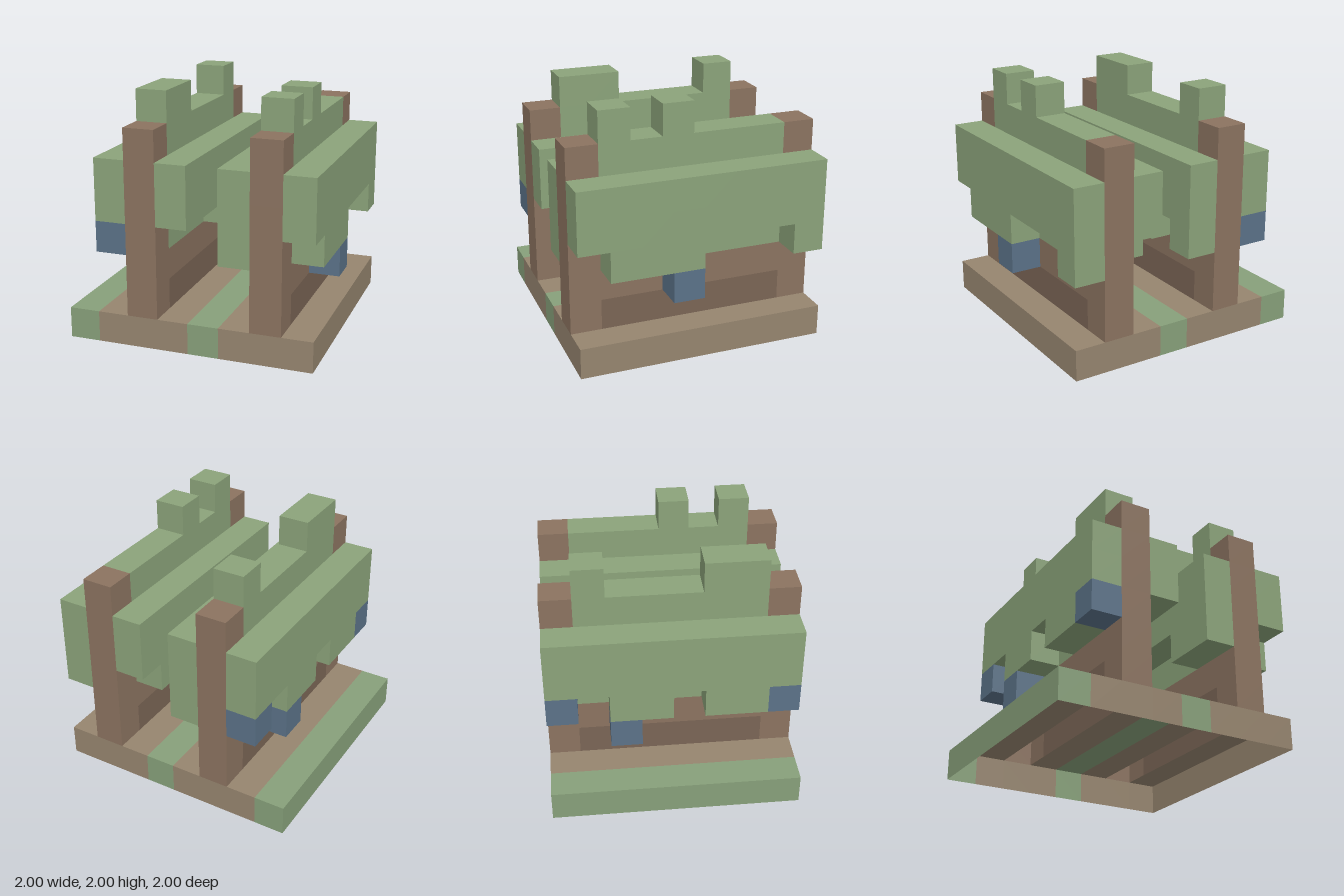
import * as THREE from 'three';
import { mergeGeometries } from 'three/addons/utils/BufferGeometryUtils.js';

const U = 0.25; // block size, on an 8 x 8 x 8 grid
const COLORS = { soil: 0x96856f, grass: 0x87a07a, wood: 0x8b7360, trunk: 0x7a6555, leaf: 0x8ba37a, fruit: 0x5b7288 };
const DIRS = [[1, 0, 0], [-1, 0, 0], [0, 1, 0], [0, -1, 0], [0, 0, 1], [0, 0, -1]];

export function createModel() {
  const blocks = new Map(); // "i,j,k" -> part name
  const parts = {};         // part name -> colour

  // fill an inclusive range of blocks with one part
  function fill(name, color, [i0, i1], [j0, j1], [k0, k1]) {
    parts[name] = color;
    for (let i = i0; i <= i1; i++)
      for (let j = j0; j <= j1; j++)
        for (let k = k0; k <= k1; k++) blocks.set([i, j, k].join(), name);
  }

  // ground slab with two grass strips
  fill('ground', COLORS.soil, [0, 7], [0, 0], [0, 7]);
  for (const i of [0, 4]) fill('grassStrips', COLORS.grass, [i, i], [0, 0], [0, 7]);

  // two hedge rows, each strung between a pair of posts
  const rows = [
    {
      name: 'rightRow', i: 2, caps: [[1, 1], [5, 6]],
      teeth: [[1, 2, 3], [1, 5, 6], [3, 0, 0], [3, 2, 3]],
      fruit: [[1, 3, 0], [1, 2, 2], [1, 3, 7]],
    },
    {
      name: 'leftRow', i: 6, caps: [[4, 4], [6, 6]],
      teeth: [[7, 0, 0], [7, 4, 6], [5, 1, 2], [5, 6, 7]],
      fruit: [[7, 2, 4]],
    },
  ];
  for (const { name, i, caps, teeth, fruit } of rows) {
    const mid = [i, i];
    fill(name + 'Trunks', COLORS.trunk, mid, [1, 1], [1, 6]);
    fill(name + 'Branches', COLORS.wood, mid, [2, 2], [1, 6]);
    fill(name + 'Foliage', COLORS.leaf, mid, [3, 6], [1, 6]);
    fill(name + 'Foliage', COLORS.leaf, [i - 1, i + 1], [4, 5], [0, 7]);
    for (const k of [0, 7]) fill(name + 'Posts', COLORS.wood, mid, [1, 6], [k, k]);
    // tufts on top and leaves hanging below
    for (const cap of caps) fill(name + 'Foliage', COLORS.leaf, mid, [7, 7], cap);
    for (const [x, a, b] of teeth) fill(name + 'Foliage', COLORS.leaf, [x, x], [3, 3], [a, b]);
    for (const [x, y, z] of fruit) fill(name + 'Fruit', COLORS.fruit, [x, x], [y, y], [z, z]);
  }

  // exposed block faces only; the slab is open underneath
  const faces = {};
  const turn = new THREE.Quaternion(), front = new THREE.Vector3(0, 0, 1);
  for (const [key, name] of blocks) {
    const [i, j, k] = key.split(',').map(Number);
    for (const d of DIRS) {
      if (blocks.has([i + d[0], j + d[1], k + d[2]].join()) || j + d[1] < 0) continue;
      const face = new THREE.PlaneGeometry(U, U);
      const n = new THREE.Vector3(...d);
      if (d[2] === -1) turn.setFromAxisAngle(new THREE.Vector3(0, 1, 0), Math.PI);
      else turn.setFromUnitVectors(front, n);
      face.applyQuaternion(turn);
      face.translate((i - 3.5 + d[0] / 2) * U, (j + 0.5 + d[1] / 2) * U, (k - 3.5 + d[2] / 2) * U);
      (faces[name] ??= []).push(face);
    }
  }

  const model = new THREE.Group();
  model.name = 'hedgeRows';
  for (const name in faces) {
    const material = new THREE.MeshStandardMaterial({ color: parts[name], side: THREE.DoubleSide });
    const mesh = new THREE.Mesh(mergeGeometries(faces[name]), material);
    mesh.name = name;
    model.add(mesh);
  }
  return model;
}
